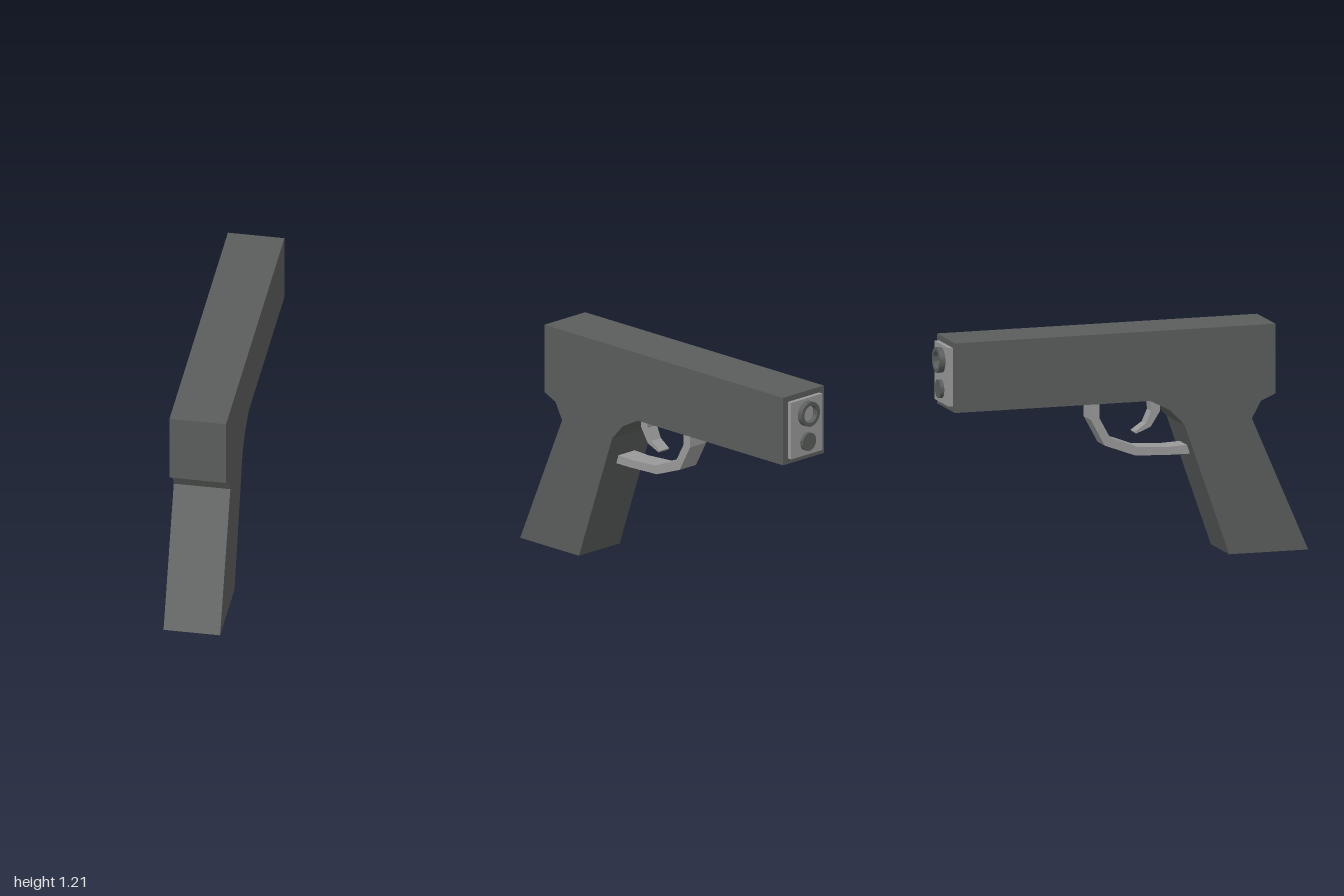
import * as THREE from 'three';
import { toCreasedNormals } from 'three/addons/utils/BufferGeometryUtils.js';

const dark = new THREE.MeshStandardMaterial({ color: 0x5a5d5b, flatShading: true });
const light = new THREE.MeshStandardMaterial({ color: 0x999999, flatShading: true });
const round = new THREE.MeshStandardMaterial({ color: 0x5a5d5b });

// Extrudes a side outline of [z, y] points across x, centred on x = 0
function sidePart(name, points, width, material) {
  const shape = new THREE.Shape(points.map(([z, y]) => new THREE.Vector2(-z, y)));
  const geometry = new THREE.ExtrudeGeometry(shape, { depth: width, bevelEnabled: false });
  geometry.translate(0, 0, -width / 2).rotateY(Math.PI / 2);
  const mesh = new THREE.Mesh(geometry, material);
  mesh.name = name;
  return mesh;
}

// Round part along z, reaching from the plate to zEnd, optionally hollow
function roundPart(name, y, radius, zEnd, holeRadius = 0) {
  const shape = new THREE.Shape().absarc(0, 0, radius, 0, Math.PI * 2);
  if (holeRadius) shape.holes.push(new THREE.Path().absarc(0, 0, holeRadius, 0, Math.PI * 2, true));
  const geometry = new THREE.ExtrudeGeometry(shape, {
    depth: -0.96 - zEnd, bevelEnabled: false, curveSegments: 32,
  });
  const mesh = new THREE.Mesh(toCreasedNormals(geometry, 0.6), round);
  mesh.position.set(0, y, zEnd);
  mesh.name = name;
  return mesh;
}

export function createModel() {
  const group = new THREE.Group();

  // Slide and slanted grip in one outline
  group.add(sidePart('body', [
    [0.82, 1.21], [0.82, 0.84], [0.74, 0.805], [0.69, 0.715], [1, 0], [0.565, 0],
    [0.32, 0.70], [0.24, 0.785], [0.13, 0.84], [-0.945, 0.84], [-0.945, 1.21],
  ], 0.3, dark));

  // Angular guard loop, its ends sunk into the body
  group.add(sidePart('triggerGuard', [
    [0.40, 0.53], [0.28, 0.53], [0.08, 0.537], [-0.09, 0.60], [-0.166, 0.74], [-0.166, 0.86],
    [-0.118, 0.86], [-0.118, 0.745], [-0.06, 0.64], [0.09, 0.583], [0.26, 0.573], [0.40, 0.579],
  ], 0.12, light));

  // Hooked trigger
  group.add(sidePart('trigger', [
    [0.222, 0.85], [0.222, 0.76], [0.17, 0.68], [0.09, 0.648],
    [0.083, 0.658], [0.145, 0.70], [0.174, 0.765], [0.165, 0.85],
  ], 0.07, light));

  // Plate at the muzzle end
  const plate = new THREE.Mesh(new THREE.BoxGeometry(0.23, 0.31, 0.04), light);
  plate.position.set(0, 1.025, -0.95);
  plate.name = 'muzzlePlate';
  group.add(plate);

  // Hollow barrel end above a solid rod
  group.add(roundPart('barrel', 1.098, 0.067, -1, 0.047));
  group.add(roundPart('guideRod', 0.945, 0.049, -0.99));

  return group;
}
